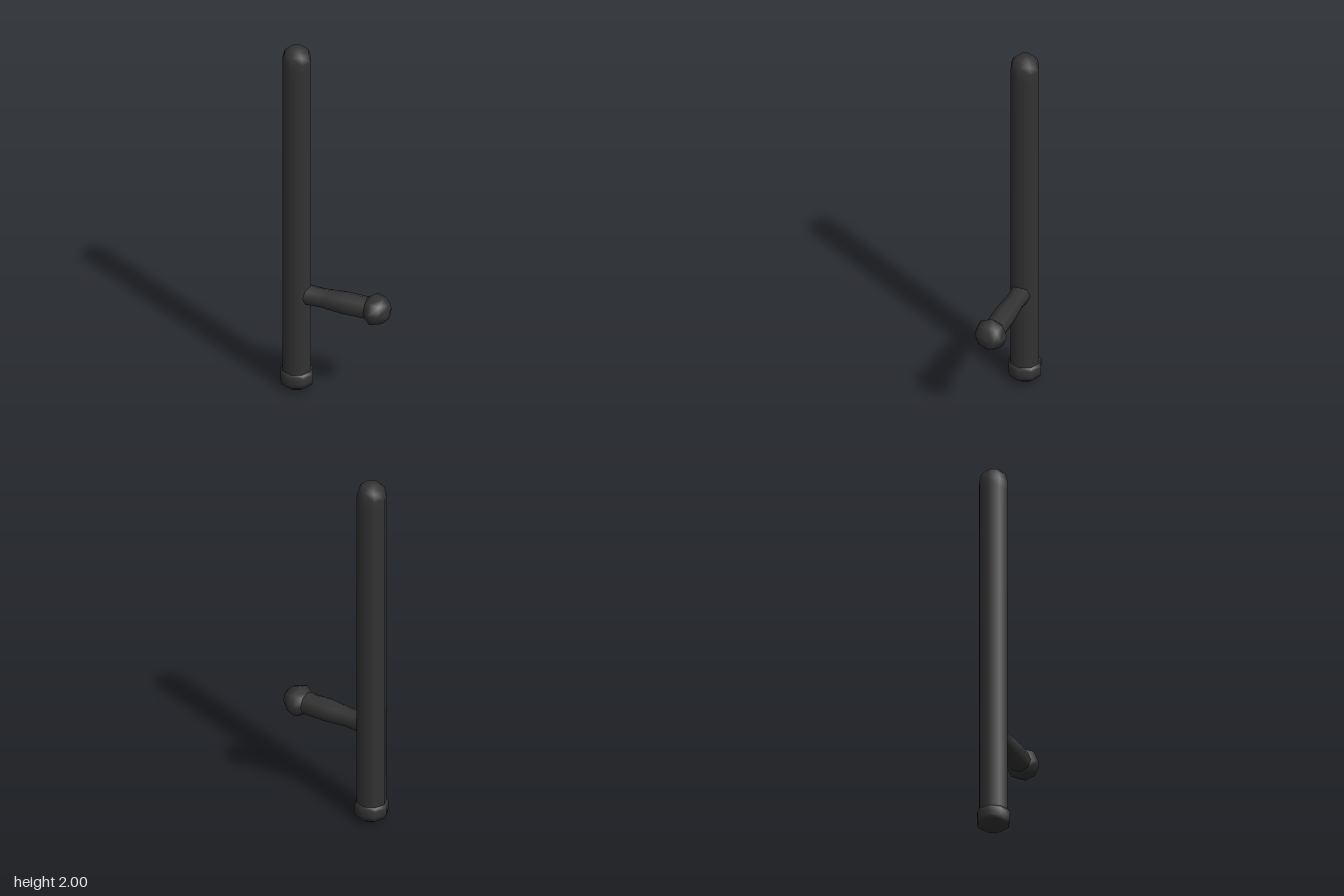
import * as THREE from 'three';

const SIDES = 8;

// Smooth eight-sided turned part; profile is [radius, height] from bottom to top
function turned(name, profile, material) {
  const points = profile.map(([r, y]) => new THREE.Vector2(r, y));
  const mesh = new THREE.Mesh(new THREE.LatheGeometry(points, SIDES), material);
  mesh.name = name;
  return mesh;
}

export function createModel() {
  const rubber = new THREE.MeshStandardMaterial({ color: 0x333333 });
  rubber.name = 'black rubber';

  const model = new THREE.Group();
  model.name = 'sideHandleBaton';

  // Upright parts: long shaft with a domed tip, and the butt cap
  const upright = new THREE.Group();
  upright.name = 'upright';
  upright.position.x = -0.208;
  upright.add(
    turned('shaft', [
      [0.077, 0.08], [0.077, 0.14], [0.077, 1.88], [0.077, 1.93],
      [0.066, 1.97], [0.04, 1.995], [0, 2],
    ], rubber),
    turned('buttCap', [
      [0, 0], [0.05, 0.006], [0.084, 0.03], [0.089, 0.055],
      [0.089, 0.088], [0.08, 0.106], [0.07, 0.108],
    ], rubber)
  );

  // Side handle: swelling grip with a round knob, turned to point along +x
  const handle = new THREE.Group();
  handle.name = 'sideHandle';
  handle.position.y = 0.555;
  handle.rotation.z = -Math.PI / 2;
  handle.add(
    turned('grip', [
      [0.055, -0.17], [0.053, -0.135], [0.05, -0.07], [0.054, -0.02],
      [0.06, 0.055], [0.058, 0.19],
    ], rubber),
    turned('knob', [
      [0.05, 0.178], [0.058, 0.18], [0.086, 0.214], [0.071, 0.265],
      [0.042, 0.294], [0, 0.297],
    ], rubber)
  );

  model.add(upright, handle);
  return model;
}
